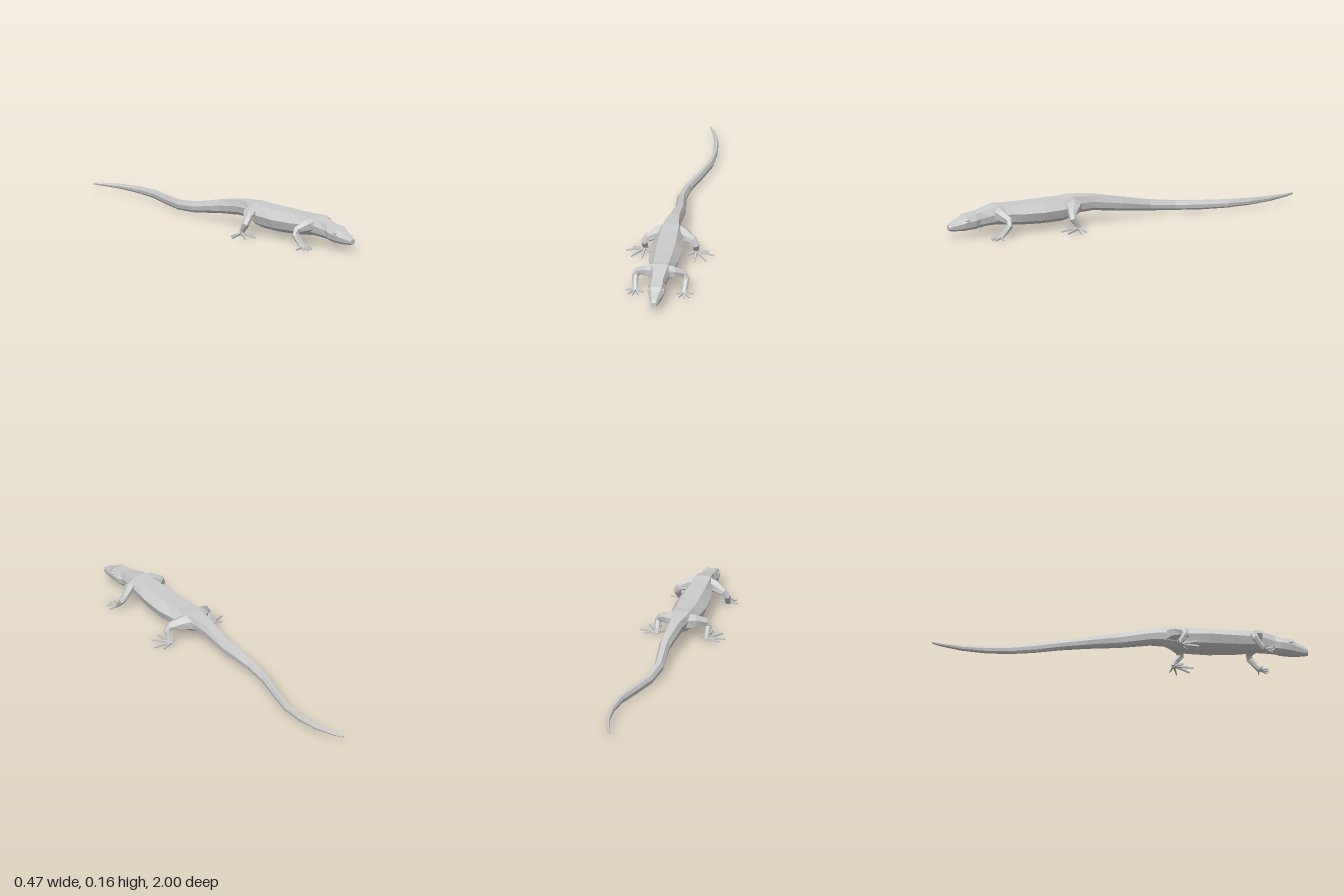
import * as THREE from 'three';

const material = new THREE.MeshStandardMaterial({ color: 0xcccccc, flatShading: true, side: THREE.DoubleSide });

// Skins a list of equal-length rings, counter-clockwise about the direction of travel
function loft(name, rings, capStart = true, capEnd = true) {
  const n = rings[0].length, pos = [];
  const tri = (...p) => p.forEach(v => pos.push(v.x, v.y, v.z));
  for (let r = 0; r < rings.length - 1; r++) {
    for (let i = 0; i < n; i++) {
      const j = (i + 1) % n, a = rings[r], b = rings[r + 1];
      tri(a[i], a[j], b[j]);
      tri(a[i], b[j], b[i]);
    }
  }
  const last = rings[rings.length - 1];
  for (let i = 1; i < n - 1; i++) {
    if (capStart) tri(rings[0][0], rings[0][i + 1], rings[0][i]);
    if (capEnd) tri(last[0], last[i], last[i + 1]);
  }
  const geo = new THREE.BufferGeometry();
  geo.setAttribute('position', new THREE.Float32BufferAttribute(pos, 3));
  geo.computeVertexNormals();
  const mesh = new THREE.Mesh(geo, material);
  mesh.name = name;
  return mesh;
}

// Eight-sided body section: flat back, side ridge, tucked belly
function section([z, x, top, bottom, backHalf, half]) {
  const h = top - bottom;
  const side = [[half * 0.4, bottom], [half * 0.82, bottom + h * 0.2], [half, bottom + h * 0.6], [backHalf, top]];
  const left = side.map(([sx, y]) => new THREE.Vector3(x + sx, y, z));
  const right = side.map(([sx, y]) => new THREE.Vector3(x - sx, y, z)).reverse();
  return [...left, ...right];
}

// Tapered limb along points [x, y, z, radiusAlongRef, otherRadius]
function limb(name, points, ref, sides = 6) {
  const at = points.map(p => new THREE.Vector3(p[0], p[1], p[2]));
  const rings = at.map((c, k) => {
    const t = at[Math.min(k + 1, at.length - 1)].clone().sub(at[Math.max(k - 1, 0)]).normalize();
    const u = ref.clone().addScaledVector(t, -ref.dot(t)).normalize();
    const v = t.clone().cross(u);
    return Array.from({ length: sides }, (_, i) => {
      const a = ((i + 0.5) / sides) * Math.PI * 2;
      return c.clone().addScaledVector(u, Math.cos(a) * points[k][3]).addScaledVector(v, Math.sin(a) * points[k][4]);
    });
  });
  return loft(name, rings);
}

// Section rows: z, centre x, top, bottom, back half width, half width
const tailRows = [
  [-1.0, 0.042, 0.042, 0.033, 0.002, 0.004],
  [-0.95, 0.064, 0.046, 0.030, 0.004, 0.008],
  [-0.84, 0.095, 0.052, 0.026, 0.006, 0.011],
  [-0.72, 0.105, 0.057, 0.022, 0.007, 0.013],
  [-0.59, 0.094, 0.061, 0.018, 0.008, 0.016],
  [-0.45, 0.052, 0.062, 0.014, 0.009, 0.018],
  [-0.32, 0.010, 0.066, 0.016, 0.010, 0.021],
  [-0.18, -0.005, 0.083, 0.026, 0.012, 0.025],
  [0.0, 0.013, 0.123, 0.050, 0.016, 0.030],
  [0.16, 0.004, 0.153, 0.069, 0.025, 0.037],
  [0.235, 0, 0.157, 0.066, 0.036, 0.045],
];
const trunkRows = [
  tailRows[tailRows.length - 1],
  [0.29, 0, 0.160, 0.046, 0.043, 0.065],
  [0.35, 0, 0.154, 0.036, 0.045, 0.076],
  [0.47, 0, 0.153, 0.036, 0.048, 0.088],
  [0.60, 0, 0.153, 0.042, 0.045, 0.079],
  [0.69, 0, 0.155, 0.052, 0.042, 0.064],
  [0.73, 0, 0.160, 0.056, 0.043, 0.058],
  [0.77, 0, 0.150, 0.055, 0.037, 0.051],
];
const headRows = [
  trunkRows[trunkRows.length - 1],
  [0.825, 0, 0.135, 0.049, 0.030, 0.038],
  [0.855, 0, 0.129, 0.044, 0.031, 0.048],
  [0.91, 0, 0.122, 0.040, 0.030, 0.044],
  [0.935, 0, 0.106, 0.040, 0.023, 0.036],
  [0.985, 0, 0.086, 0.043, 0.014, 0.021],
  [1.0, 0, 0.074, 0.047, 0.010, 0.016],
];

// Leg paths for the +x side; feet hold the palm centre and toe tips [x, z]
const legs = {
  front: {
    path: [
      [0.025, 0.118, 0.728, 0.034, 0.042], [0.07, 0.112, 0.722, 0.028, 0.035],
      [0.122, 0.094, 0.698, 0.020, 0.022], [0.137, 0.070, 0.705, 0.018, 0.019],
      [0.132, 0.030, 0.737, 0.014, 0.016], [0.130, 0.010, 0.755, 0.012, 0.017],
    ],
    palm: [0.130, 0.752],
    toes: [[0.182, 0.757], [0.165, 0.798], [0.140, 0.808], [0.108, 0.800], [0.086, 0.768]],
  },
  hind: {
    path: [
      [0.025, 0.110, 0.282, 0.052, 0.046], [0.07, 0.108, 0.298, 0.040, 0.037],
      [0.122, 0.092, 0.330, 0.024, 0.024], [0.139, 0.070, 0.334, 0.021, 0.019],
      [0.136, 0.032, 0.307, 0.014, 0.016], [0.136, 0.010, 0.298, 0.013, 0.017],
    ],
    palm: [0.138, 0.300],
    toes: [[0.203, 0.286], [0.235, 0.326], [0.200, 0.392], [0.140, 0.405], [0.094, 0.345]],
  },
};

export function createModel() {
  const lizard = new THREE.Group();
  lizard.name = 'lizard';
  lizard.add(
    loft('tail', tailRows.map(section), true, false),
    loft('trunk', trunkRows.map(section), false, false),
    loft('head', headRows.map(section), false, true),
  );

  const zAxis = new THREE.Vector3(0, 0, 1), yAxis = new THREE.Vector3(0, 1, 0);
  for (const [label, s] of [['Left', 1], ['Right', -1]]) {
    // Eye set into the side of the head
    const eye = new THREE.Mesh(new THREE.IcosahedronGeometry(0.011, 1), material);
    eye.name = 'eye' + label;
    eye.scale.set(0.7, 0.9, 1.2);
    eye.position.set(s * 0.039, 0.100, 0.903);
    lizard.add(eye);

    // Leg, foot and splayed toes
    for (const [end, { path, palm, toes }] of Object.entries(legs)) {
      const leg = new THREE.Group();
      leg.name = end + 'Leg' + label;
      leg.add(limb('limb', path.map(([x, ...rest]) => [s * x, ...rest]), zAxis));
      toes.forEach(([tx, tz], i) => {
        const [px, pz] = palm;
        const mid = [px + (tx - px) * 0.55, pz + (tz - pz) * 0.55];
        leg.add(limb('toe' + (i + 1), [
          [s * px, 0.013, pz, 0.010, 0.008],
          [s * mid[0], 0.010, mid[1], 0.007, 0.0055],
          [s * tx, 0.006, tz, 0.006, 0.003],
        ], yAxis, 4));
      });
      lizard.add(leg);
    }
  }
  return lizard;
}
